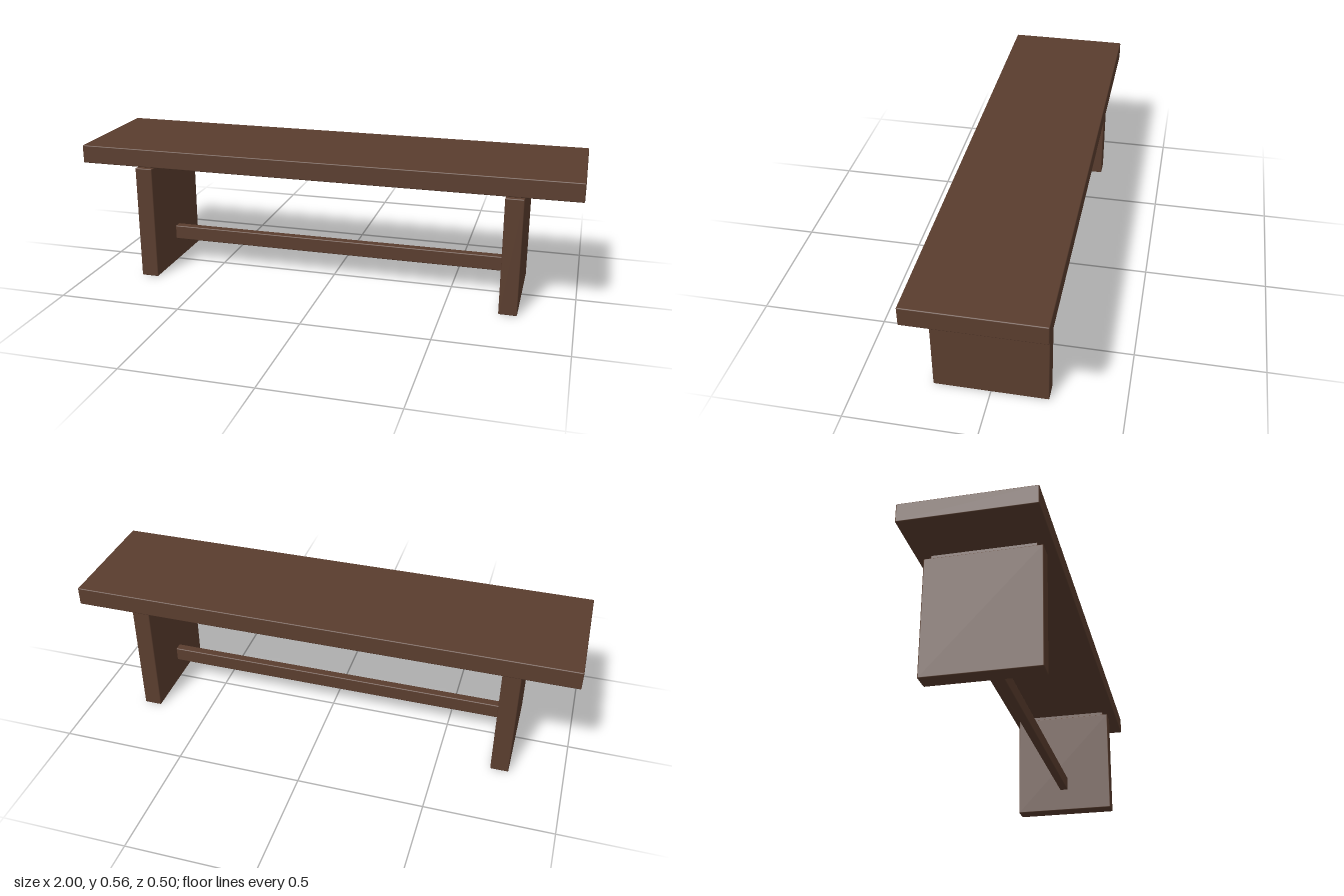
import * as THREE from 'three';
import { RoundedBoxGeometry } from 'three/addons/geometries/RoundedBoxGeometry.js';

export function createModel() {
  const bench = new THREE.Group();
  bench.name = 'bench';
  const darkWood = new THREE.MeshStandardMaterial({ color: 0x5a3d2e });
  darkWood.name = 'darkWood';

  // Board with softly eased edges, placed by its bottom height
  function board(name, w, h, d, x, bottom, ease = 0.004) {
    const mesh = new THREE.Mesh(new RoundedBoxGeometry(w, h, d, 2, ease), darkWood);
    mesh.name = name;
    mesh.position.set(x, bottom + h / 2, 0);
    bench.add(mesh);
  }

  // Seat plank
  board('seat', 2, 0.074, 0.5, 0, 0.488);

  // Slab legs, each with a narrow spacer under the seat
  for (const [side, s] of [['left', 1], ['right', -1]]) {
    board(side + 'Leg', 0.072, 0.472, 0.437, s * 0.75, 0);
    board(side + 'Spacer', 0.05, 0.03, 0.388, s * 0.75, 0.465, 0.001);
  }

  // Stretcher rail between the legs
  board('stretcher', 1.43, 0.06, 0.036, 0, 0.099);

  return bench;
}
